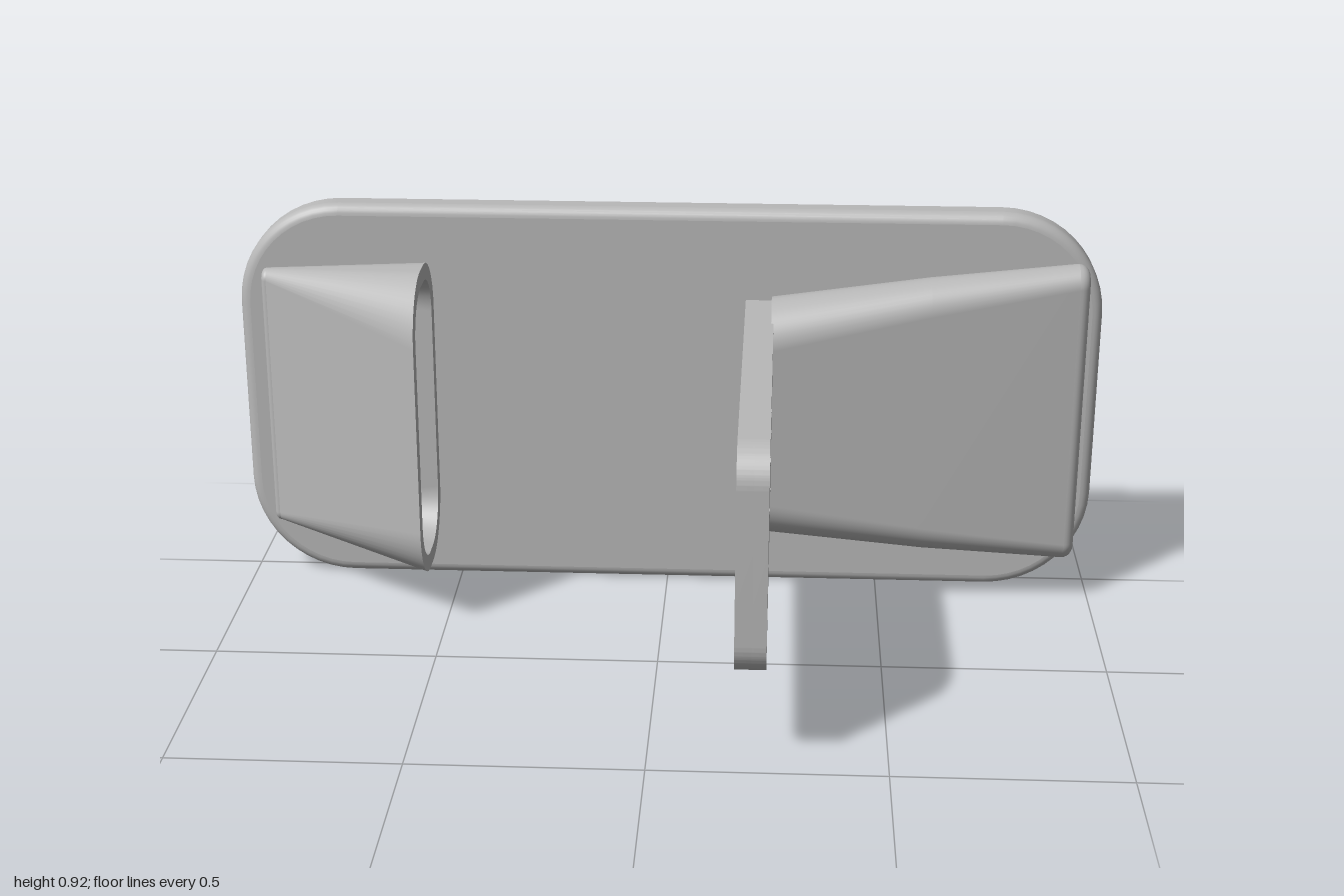
import * as THREE from 'three';
import { toCreasedNormals } from 'three/addons/utils/BufferGeometryUtils.js';

const ARC = 12; // segments per rounded corner

// Rounded rectangle in the yz plane at a given x, as a loop of points
function ring([x, y0, y1, z0, z1, r]) {
  const points = [];
  const corners = [[y1 - r, z1 - r], [y0 + r, z1 - r], [y0 + r, z0 + r], [y1 - r, z0 + r]];
  corners.forEach(([cy, cz], k) => {
    for (let i = 0; i <= ARC; i++) {
      const a = (k + i / ARC) * Math.PI / 2;
      points.push([x, cy + r * Math.cos(a), cz + r * Math.sin(a)]);
    }
  });
  return points;
}

// Section collapsed to its centre, used to close an end
function centre([x, y0, y1, z0, z1]) {
  const y = (y0 + y1) / 2, z = (z0 + z1) / 2;
  return [x, y, y, z, z, 0];
}

// Skin over smooth bands of sections, with a sharp edge between bands
function loft(bands) {
  const positions = [], indices = [];
  for (const band of bands) {
    const start = positions.length / 3;
    const rings = band.map(ring);
    const n = rings[0].length;
    rings.forEach(loop => loop.forEach(p => positions.push(...p)));
    for (let k = 0; k < rings.length - 1; k++) {
      for (let i = 0; i < n; i++) {
        const j = (i + 1) % n;
        const a = start + k * n, b = a + n;
        indices.push(a + i, a + j, b + i, a + j, b + j, b + i);
      }
    }
  }
  const geometry = new THREE.BufferGeometry();
  geometry.setAttribute('position', new THREE.Float32BufferAttribute(positions, 3));
  geometry.setIndex(indices);
  geometry.computeVertexNormals();
  return geometry;
}

// Quarter-round edge of radius f that ends at the section's own x, in direction dir
function fillet([x, y0, y1, z0, z1, r], f, dir) {
  const out = [];
  for (let i = 0; i <= 6; i++) {
    const a = i / 6 * Math.PI / 2;
    const inset = f * (1 - Math.cos(a));
    out.push([x - dir * f * (1 - Math.sin(a)), y0 + inset, y1 - inset,
      z0 + inset, z1 - inset, Math.max(r - inset, 0.002)]);
  }
  return out;
}

// One layer of the arm, drawn with u = -z and extruded along +x
function armLayer(x0, x1, boltRadius) {
  const u0 = -0.515, u1 = 0.452, y0 = 0.212, y1 = 0.708, r = 0.08;
  const shape = new THREE.Shape();
  shape.moveTo(u1, y0);
  shape.lineTo(u1, y1);
  shape.lineTo(u0 + r, y1);
  shape.absarc(u0 + r, y1 - r, r, Math.PI / 2, Math.PI, false);
  shape.lineTo(u0, y0 + r);
  shape.absarc(u0 + r, y0 + r, r, Math.PI, Math.PI * 1.5, false);
  shape.closePath();
  const hole = (u, y, radius) => {
    const path = new THREE.Path();
    path.absarc(u, y, radius, 0, Math.PI * 2, true);
    shape.holes.push(path);
  };
  hole(0.105, 0.46, 0.066);
  for (const du of [-0.08, 0.08]) for (const dy of [-0.08, 0.08]) hole(0.105 + du, 0.46 + dy, boltRadius);
  const geometry = new THREE.ExtrudeGeometry(shape, { depth: x1 - x0, bevelEnabled: false, curveSegments: 24 });
  geometry.rotateY(Math.PI / 2);
  geometry.translate(x0, 0, 0);
  return toCreasedNormals(geometry, 0.6);
}

export function createModel() {
  const group = new THREE.Group();
  const grey = new THREE.MeshStandardMaterial({ color: 0xb8b8b8 });
  grey.name = 'plain grey';
  const add = (name, geometry, parent = group) => {
    const mesh = new THREE.Mesh(geometry, grey);
    mesh.name = name;
    parent.add(mesh);
    return mesh;
  };

  // Back plate, lofted along x then turned so its rounded edge faces forward
  const plateBack = [-0.515, 0, 0.92, -1, 1, 0.24];
  const plateEdge = fillet([-0.452, 0, 0.92, -1, 1, 0.24], 0.025, 1);
  const plateFront = plateEdge[plateEdge.length - 1];
  const plate = add('backPlate', loft([
    [centre(plateBack), plateBack],
    [plateBack, plateEdge[0]],
    plateEdge,
    [plateFront, centre(plateFront)],
  ]));
  plate.rotation.y = -Math.PI / 2;

  // Upright arm with a centre hole and four counterbored bolt holes
  const arm = new THREE.Group();
  arm.name = 'mountingArm';
  group.add(arm);
  add('armInnerLayer', armLayer(0.18, 0.215, 0.03), arm);
  add('armOuterLayer', armLayer(0.215, 0.245, 0.049), arm);

  // Tapered solid grip beside the arm
  const gripStart = [0.24, 0.18, 0.743, -0.453, -0.26, 0.095];
  const gripMiddle = [0.6, 0.134, 0.788, -0.453, -0.309, 0.07];
  const gripEdge = fillet([0.957, 0.103, 0.819, -0.453, -0.357, 0.047], 0.025, 1);
  const gripEnd = gripEdge[gripEdge.length - 1];
  add('solidGrip', loft([
    [centre(gripStart), gripStart],
    [gripStart, gripMiddle, gripEdge[0]],
    gripEdge,
    [gripEnd, centre(gripEnd)],
  ]));

  // Tapered hollow pocket, open towards the arm
  const pocketEdge = fillet([-0.937, 0.148, 0.775, -0.453, -0.402, 0.025], 0.012, -1).reverse();
  const pocketEnd = pocketEdge[0];
  const mouth = [-0.545, 0.102, 0.822, -0.453, -0.127, 0.14];
  const mouthInner = [-0.545, 0.14, 0.784, -0.417, -0.163, 0.104];
  const floor = [-0.86, 0.18, 0.744, -0.425, -0.385, 0.018];
  add('hollowPocket', loft([
    [centre(pocketEnd), pocketEnd],
    pocketEdge,
    [pocketEdge[pocketEdge.length - 1], mouth],
    [mouth, mouthInner],
    [mouthInner, floor],
    [floor, centre(floor)],
  ]));

  return group;
}
